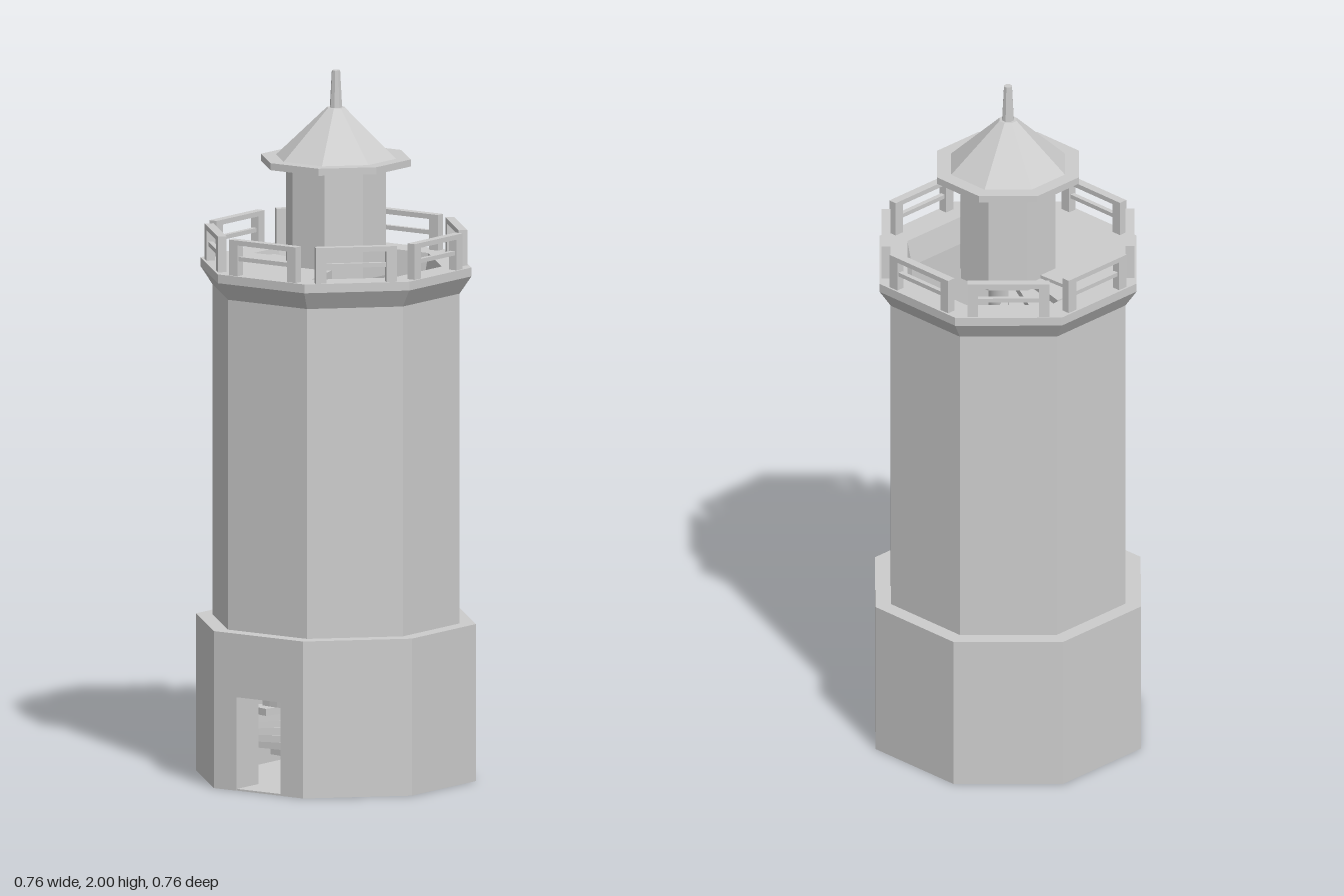
import * as THREE from 'three';

const DEG = Math.PI / 180;
const TWIST = -2.75 * DEG;             // the whole tower is turned slightly
const CORNER = TWIST + 22.5 * DEG;     // direction of the first octagon corner

const stone = new THREE.MeshStandardMaterial({ color: 0xcccccc, side: THREE.DoubleSide });
stone.name = 'paleStone';

function add(parent, name, geometry) {
  const mesh = new THREE.Mesh(geometry, stone);
  mesh.name = name;
  parent.add(mesh);
  return mesh;
}

// Faceted octagonal ring or solid from [radius, height] points
function octagon(profile, sides = 8) {
  const points = profile.map(([r, y]) => new THREE.Vector2(r, y));
  const g = new THREE.LatheGeometry(points, sides, CORNER, sides * 45 * DEG).toNonIndexed();
  g.computeVertexNormals();
  return g;
}

// Flat slab from [x, z] outline points, its top at height y
function slab(outline, thickness, y) {
  const shape = new THREE.Shape(outline.map(([x, z]) => new THREE.Vector2(x, -z)));
  const g = new THREE.ExtrudeGeometry(shape, { depth: thickness, bevelEnabled: false });
  return g.rotateX(-Math.PI / 2).translate(0, y - thickness, 0);
}

const polar = (r, deg) => [r * Math.sin(deg * DEG), r * Math.cos(deg * DEG)];

export function createModel() {
  const tower = new THREE.Group();
  tower.name = 'lighthouse';

  // Plinth: seven plain sides and a front panel with the doorway
  const R = 0.402, inner = 0.29;
  add(tower, 'plinthWall', octagon([[R, 0], [R, 0.445], [inner, 0.445], [inner, 0]], 7));
  add(tower, 'floor', octagon([[0, 0], [0.4, 0], [0.4, 0.005], [0, 0.005]]));

  const half = R * Math.sin(22.5 * DEG), apothem = R * Math.cos(22.5 * DEG);
  const depth = apothem - inner * Math.cos(22.5 * DEG);
  const panel = new THREE.Shape([
    [-half, 0], [-0.075, 0], [-0.075, 0.265], [0.075, 0.265],
    [0.075, 0], [half, 0], [half, 0.445], [-half, 0.445],
  ].map(([x, y]) => new THREE.Vector2(x, y)));
  const doorGeometry = new THREE.ExtrudeGeometry(panel, { depth, bevelEnabled: false });
  doorGeometry.translate(0, 0, apothem - depth);
  add(tower, 'doorwayPanel', doorGeometry).rotation.y = TWIST;

  // Hollow shaft with the flared gallery edge
  add(tower, 'shaft', octagon([
    [0.355, 0.44], [0.355, 1.38], [0.389, 1.43], [0.389, 1.455],
    [0.304, 1.455], [inner, 1.38], [inner, 0.44],
  ]));

  // Gallery deck beside the open stairwell
  add(tower, 'galleryDeck', slab([
    [-0.282, -0.01], polar(0.305, -70.25), polar(0.305, -25.25), polar(0.305, 19.75),
    [0.06, 0.1], [-0.1, -0.01],
  ], 0.03, 1.455));

  // Spiral stair around a round newel
  const stair = new THREE.Group();
  stair.name = 'spiralStair';
  tower.add(stair);
  const newel = new THREE.CylinderGeometry(0.055, 0.055, 1.45, 32);
  add(stair, 'newel', newel.translate(0, 0.725, 0));
  const steps = 51, rise = 0.0285, turn = 15;
  const tread = slab([
    polar(0.05, -9), polar(0.268, -9), polar(0.268, -3), polar(0.268, 3),
    polar(0.268, 9), polar(0.05, 9),
  ], 0.02, 0);
  for (let i = 0; i < steps; i++) {
    const step = add(stair, 'step', tread);
    step.position.y = 1.445 - i * rise;
    step.rotation.y = (262 - i * turn) * DEG;
  }

  // One railing on each side of the gallery
  const post = new THREE.BoxGeometry(0.03, 0.1, 0.025);
  const topRail = new THREE.BoxGeometry(0.23, 0.014, 0.025);
  const midRail = new THREE.BoxGeometry(0.2, 0.012, 0.014);
  for (let k = 0; k < 8; k++) {
    const railing = new THREE.Group();
    railing.name = 'railing';
    railing.rotation.y = TWIST + k * 45 * DEG;
    for (const side of [-1, 1]) {
      add(railing, 'railingPost', post).position.set(side * 0.1, 1.505, 0.341);
    }
    add(railing, 'topRail', topRail).position.set(0, 1.549, 0.341);
    add(railing, 'middleRail', midRail).position.set(0, 1.503, 0.341);
    tower.add(railing);
  }

  // Lantern room, eave, roof and spire
  add(tower, 'lanternRoom', octagon([[0, 1.425], [0.143, 1.425], [0.143, 1.74], [0, 1.74]]));
  add(tower, 'eave', octagon([[0, 1.735], [0.215, 1.735], [0.215, 1.755], [0, 1.755]]));
  add(tower, 'roof', octagon([[0.172, 1.755], [0.026, 1.895], [0, 1.895]]));
  add(tower, 'spire', octagon([[0.018, 1.89], [0.012, 2], [0, 2]]));

  return tower;
}
